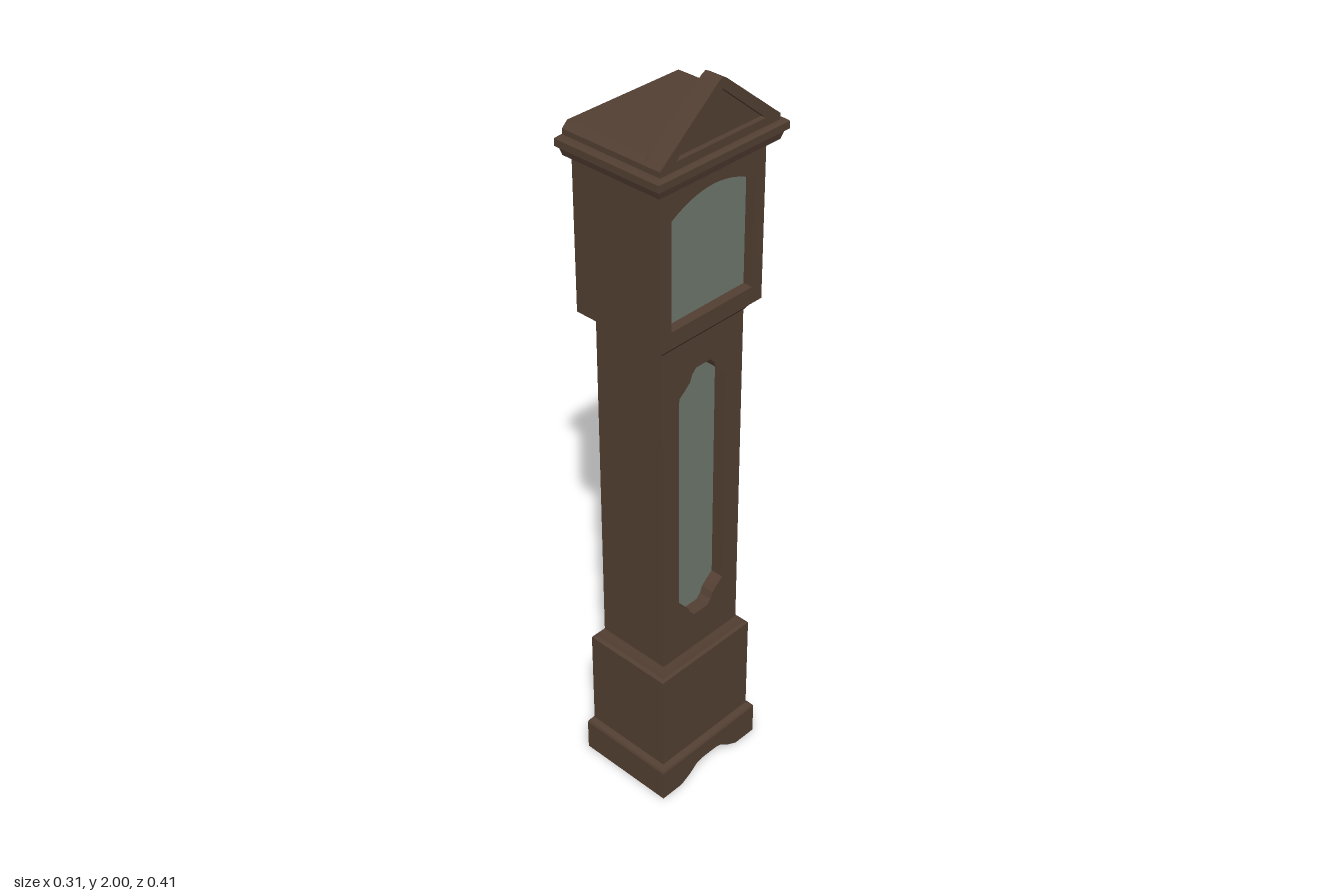
import * as THREE from 'three';

const wood = new THREE.MeshStandardMaterial({ color: 0x533f33, flatShading: true });
const glass = new THREE.MeshStandardMaterial({ color: 0x6d776c, flatShading: true });

// Polygon mirrored about the centre line, from its right half listed bottom to top.
const mirrored = (half) => [
  ...half,
  ...half.filter(([u]) => u > 0).reverse().map(([u, v]) => [-u, v]),
].map(([u, v]) => new THREE.Vector2(u, v));

// Outline in the z-y plane, extruded along x from x0 to x1.
function slab(name, outline, x0, x1, hole, material = wood) {
  const shape = new THREE.Shape(outline);
  if (hole) shape.holes.push(new THREE.Path(hole));
  const geo = new THREE.ExtrudeGeometry(shape, { depth: x1 - x0, bevelEnabled: false });
  geo.rotateY(Math.PI / 2).translate(x0, 0, 0);
  const mesh = new THREE.Mesh(geo, material);
  mesh.name = name;
  return mesh;
}

// Stack of rectangular cross-sections [y, xMin, xMax, halfDepth], capped at both ends.
function loft(name, rings) {
  const pos = [], index = [];
  for (const [y, a, b, d] of rings) pos.push(a, y, d, b, y, d, b, y, -d, a, y, -d);
  for (let r = 0; r < rings.length - 1; r++) {
    for (let i = 0; i < 4; i++) {
      const p = r * 4 + i, q = r * 4 + (i + 1) % 4;
      index.push(p, q, q + 4, p, q + 4, p + 4);
    }
  }
  const t = (rings.length - 1) * 4;
  index.push(0, 2, 1, 0, 3, 2, t, t + 1, t + 2, t, t + 2, t + 3);
  let geo = new THREE.BufferGeometry();
  geo.setAttribute('position', new THREE.Float32BufferAttribute(pos, 3));
  geo.setIndex(index);
  geo = geo.toNonIndexed();
  geo.computeVertexNormals();
  const mesh = new THREE.Mesh(geo, wood);
  mesh.name = name;
  return mesh;
}

// Case section with a glazed opening recessed into its +x face.
function glazedCase(name, y0, y1, x0, x1, d, opening, recess) {
  const group = new THREE.Group();
  group.name = name;
  const back = x1 - recess;
  group.add(
    loft(name + 'Body', [[y0, x0, back, d], [y1, x0, back, d]]),
    slab(name + 'Frame', mirrored([[d, y0], [d, y1]]), back, x1, opening),
    slab(name + 'Glass', opening, back - 0.002, back + 0.002, null, glass),
  );
  return group;
}

export function createModel() {
  const clock = new THREE.Group();
  clock.name = 'longcaseClock';

  // Foot with a shaped cut-out running right through
  clock.add(slab('foot', mirrored([
    [0.028, 0.042], [0.047, 0.037], [0.075, 0.016], [0.107, 0], [0.176, 0], [0.176, 0.09],
  ]), -0.148, 0.133));

  // Base box with its lower and upper mouldings
  clock.add(loft('base', [
    [0.09, -0.148, 0.133, 0.176], [0.096, -0.146, 0.13, 0.173],
    [0.105, -0.137, 0.118, 0.161], [0.392, -0.137, 0.118, 0.161],
    [0.395, -0.127, 0.109, 0.15], [0.405, -0.123, 0.104, 0.144],
    [0.418, -0.115, 0.096, 0.135],
  ]));

  // Trunk with a long door window
  const trunkTop = [[0.08, 1.212], [0.062, 1.226], [0.044, 1.242], [0.037, 1.26], [0.024, 1.273]];
  const trunkBottom = trunkTop.map(([u, v]) => [u, 1.797 - v]).reverse();
  clock.add(glazedCase('trunk', 0.418, 1.362, -0.115, 0.096, 0.135,
    mirrored([...trunkBottom, ...trunkTop]), 0.038));

  // Flared moulding beneath the hood
  clock.add(loft('hoodMoulding', [
    [1.36, -0.117, 0.098, 0.138], [1.368, -0.122, 0.103, 0.144],
    [1.38, -0.135, 0.115, 0.159], [1.386, -0.143, 0.122, 0.167],
  ]));

  // Hood with an arched dial window
  const arch = [[0.133, 1.43]];
  for (let i = 0; i <= 8; i++) {
    const u = 0.133 * (1 - i / 8);
    arch.push([u, 1.747 - 0.04 * (u / 0.133) ** 2]);
  }
  clock.add(glazedCase('hood', 1.386, 1.792, -0.143, 0.122, 0.167, mirrored(arch), 0.028));

  // Cornice
  clock.add(loft('cornice', [
    [1.79, -0.147, 0.142, 0.19], [1.808, -0.15, 0.147, 0.196],
    [1.814, -0.155, 0.155, 0.205], [1.832, -0.155, 0.155, 0.205],
    [1.838, -0.149, 0.148, 0.198],
  ]));

  // Low roof slab, and the gabled pediment standing at its face end
  clock.add(slab('roof', mirrored([
    [0.188, 1.836], [0.188, 1.852], [0.172, 1.867],
  ]), -0.147, 0.093));
  const gable = mirrored([[0.188, 1.836], [0.188, 1.852], [0.012, 1.994], [0, 2]]);
  const panel = mirrored([[0.14, 1.858], [0, 1.974]]);
  clock.add(slab('pedimentBack', gable, 0.093, 0.128));
  clock.add(slab('pedimentFrame', gable, 0.128, 0.142, panel));

  return clock;
}
